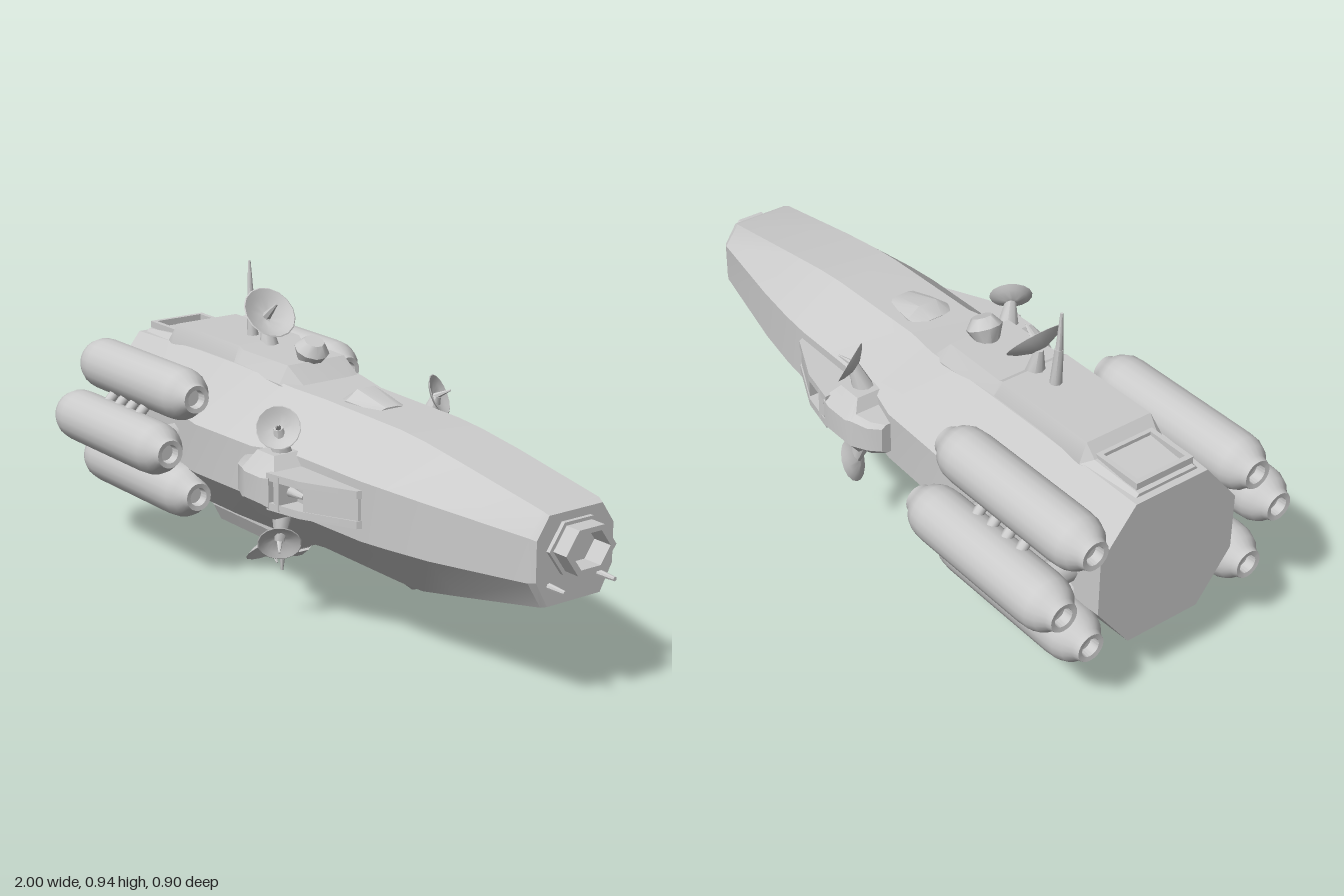
import * as THREE from 'three';
import { toCreasedNormals } from 'three/addons/utils/BufferGeometryUtils.js';

const MAT = new THREE.MeshStandardMaterial({ color: 0xcccccc, side: THREE.DoubleSide });
const V = (x, y, z) => new THREE.Vector3(x, y, z);
const AXIS = 0.435; // height of the ship's long axis

function add(parent, name, geometry, crease = 0.5) {
  const mesh = new THREE.Mesh(toCreasedNormals(geometry, crease), MAT);
  mesh.name = name;
  parent.add(mesh);
  return mesh;
}

// Octagonal section: [x, top, bottom, half width, flat half width, shoulder y, lower shoulder y, centre z]
function octagon([x, top, bot, hz, flat, sT, sB, cz = 0]) {
  return [[top, -flat], [top, flat], [sT, hz], [sB, hz], [bot, flat], [bot, -flat], [sB, -hz], [sT, -hz]]
    .map(([y, z]) => V(x, y, z + cz));
}

// Skin over octagonal sections ordered along +x, with both ends closed
function loft(sections) {
  const rings = sections.map(octagon), n = 8, pos = [];
  const tri = (...pts) => pts.forEach(p => pos.push(p.x, p.y, p.z));
  for (let i = 0; i < rings.length - 1; i++) {
    for (let j = 0; j < n; j++) {
      const k = (j + 1) % n, a = rings[i], b = rings[i + 1];
      tri(a[j], a[k], b[j]);
      tri(a[k], b[k], b[j]);
    }
  }
  const first = rings[0], last = rings[rings.length - 1];
  for (let j = 1; j < n - 1; j++) {
    tri(first[0], first[j + 1], first[j]);
    tri(last[0], last[j], last[j + 1]);
  }
  const g = new THREE.BufferGeometry();
  g.setAttribute('position', new THREE.Float32BufferAttribute(pos, 3));
  g.computeVertexNormals();
  return g;
}

// Tapered rod from p to q
function rod(parent, name, p, q, r0, r1, sides = 8) {
  const d = q.clone().sub(p);
  const mesh = add(parent, name, new THREE.CylinderGeometry(r1, r0, d.length(), sides), 0.9);
  mesh.position.copy(p).addScaledVector(d, 0.5);
  mesh.quaternion.setFromUnitVectors(V(0, 1, 0), d.normalize());
  return mesh;
}

// Shallow dish with a feed spike, facing dir
function dish(parent, name, centre, dir, r) {
  const g = new THREE.Group();
  g.name = name;
  const profile = [[0, -0.2], [0.3, -0.17], [0.75, 0], [1, 0.16], [0.96, 0.18], [0.7, 0.05], [0.3, -0.09], [0, -0.1]]
    .map(([a, b]) => new THREE.Vector2(a * r, b * r));
  add(g, 'reflector', new THREE.LatheGeometry(profile, 16), 0.7);
  rod(g, 'feedSpike', V(0, -0.1 * r, 0), V(0, 0.75 * r, 0), r * 0.16, r * 0.04, 6);
  g.position.copy(centre);
  g.quaternion.setFromUnitVectors(V(0, 1, 0), dir.normalize());
  parent.add(g);
}

// Flat outline with an optional hole, extruded
function slab(outline, depth, hole) {
  const pts = a => a.map(([x, y]) => new THREE.Vector2(x, y));
  const s = new THREE.Shape(pts(outline));
  if (hole) s.holes.push(new THREE.Path(pts(hole)));
  return new THREE.ExtrudeGeometry(s, { depth, bevelEnabled: false });
}

// Everything repeated on the left and right flanks
function flank() {
  const g = new THREE.Group();
  // Three long tanks with hollow nozzle ends
  const profile = [[0, 0.03], [0.026, 0.03], [0.028, 0.002], [0.042, 0], [0.048, 0.018], [0.066, 0.038], [0.077, 0.065],
    [0.08, 0.1], [0.08, 0.505], [0.077, 0.54], [0.066, 0.567], [0.048, 0.587], [0.042, 0.605], [0.028, 0.603],
    [0.026, 0.575], [0, 0.575]].map(p => new THREE.Vector2(...p));
  for (const [y, z] of [[0.585, 0.275], [AXIS, 0.37], [0.285, 0.275]]) {
    const tank = new THREE.LatheGeometry(profile, 20);
    tank.rotateZ(-Math.PI / 2);
    add(g, 'tank', tank, 0.6).position.set(-1, y, z);
    for (const x of [-0.85, -0.55]) rod(g, 'tankMount', V(x, AXIS, 0.16), V(x, y, z), 0.04, 0.04);
  }
  // Small couplings between neighbouring tanks
  for (const s of [-1, 1]) for (let i = 0; i < 4; i++) {
    const x = -0.79 + i * 0.06;
    rod(g, 'tankCoupling', V(x, AXIS + s * 0.05, 0.36), V(x, AXIS + s * 0.11, 0.3), 0.016, 0.016);
  }
  // Sensor sponson
  add(g, 'sponson', loft([
    [-0.13, 0.485, 0.39, 0.07, 0.055, 0.475, 0.4, 0.23],
    [-0.1, 0.49, 0.385, 0.1, 0.085, 0.475, 0.4, 0.23],
    [-0.05, 0.495, 0.38, 0.12, 0.1, 0.48, 0.395, 0.23],
    [-0.03, 0.53, 0.345, 0.125, 0.08, 0.475, 0.4, 0.23],
    [0.05, 0.53, 0.345, 0.125, 0.08, 0.475, 0.4, 0.23],
    [0.08, 0.495, 0.38, 0.12, 0.1, 0.48, 0.395, 0.23]]));
  // Open trough ahead of the sponson
  const wall = [[0.07, 0.2], [0.07, 0.35], [0.19, 0.325], [0.35, 0.25], [0.37, 0.2]];
  for (const y of [0.495, 0.41]) {
    const w = slab(wall, 0.022);
    w.rotateX(Math.PI / 2);
    add(g, 'troughWall', w).position.y = y;
  }
  const floor = slab([[0.07, 0.2], [0.07, 0.275], [0.2, 0.285], [0.2, 0.318], [0.35, 0.245], [0.36, 0.2]], 0.08);
  floor.rotateX(Math.PI / 2);
  add(g, 'troughFloor', floor).position.y = 0.48;
  add(g, 'troughBar', new THREE.BoxGeometry(0.025, 0.1, 0.08)).position.set(0.105, 0.442, 0.302);
  rod(g, 'sensorTip', V(0.11, 0.442, 0.3), V(0.18, 0.442, 0.3), 0.016, 0.008);
  // Dishes above and below the sponson
  for (const s of [-1, 1]) {
    const c = V(0.03, AXIS + s * 0.165, 0.28);
    rod(g, 'dishArm', V(0.01, AXIS + s * 0.05, 0.25), c, 0.04, 0.014);
    dish(g, 'flankDish', c, V(0.85, s * 0.5, 0.6), 0.063);
  }
  return g;
}

export function createModel() {
  const model = new THREE.Group();
  model.name = 'spaceship';

  add(model, 'hull', loft([
    [-0.97, 0.655, 0.205, 0.23, 0.12, 0.52, 0.35],
    [-0.6, 0.67, 0.2, 0.25, 0.13, 0.52, 0.35],
    [-0.4, 0.67, 0.2, 0.28, 0.13, 0.51, 0.36],
    [-0.12, 0.655, 0.2, 0.27, 0.12, 0.51, 0.36],
    [0, 0.647, 0.203, 0.24, 0.1, 0.52, 0.345],
    [0.35, 0.64, 0.203, 0.236, 0.1, 0.52, 0.35],
    [0.45, 0.632, 0.207, 0.228, 0.1, 0.52, 0.355],
    [0.6, 0.612, 0.238, 0.205, 0.1, 0.515, 0.36],
    [0.92, 0.563, 0.305, 0.14, 0.095, 0.5, 0.38],
    [0.94, 0.555, 0.312, 0.13, 0.09, 0.495, 0.385]]), 0.35);

  // Dorsal housing, with a framed hatch on its rear ramp
  add(model, 'dorsalHousing', loft([
    [-0.95, 0.665, 0.6, 0.11, 0.095, 0.65, 0.61],
    [-0.79, 0.68, 0.6, 0.125, 0.105, 0.66, 0.61],
    [-0.76, 0.718, 0.6, 0.13, 0.108, 0.66, 0.61],
    [-0.42, 0.718, 0.6, 0.13, 0.108, 0.66, 0.61],
    [-0.4, 0.708, 0.6, 0.13, 0.105, 0.66, 0.61],
    [-0.18, 0.706, 0.6, 0.13, 0.1, 0.655, 0.61],
    [-0.12, 0.648, 0.6, 0.12, 0.08, 0.64, 0.61]]), 0.4);
  const hatch = slab([[-0.94, -0.095], [-0.78, -0.095], [-0.78, 0.095], [-0.94, 0.095]], 0.02,
    [[-0.925, -0.08], [-0.795, -0.08], [-0.795, 0.08], [-0.925, 0.08]]);
  hatch.rotateX(Math.PI / 2);
  add(model, 'hatchFrame', hatch).position.y = 0.69;

  // Ventral housing
  add(model, 'ventralHousing', loft([
    [-0.58, 0.26, 0.198, 0.13, 0.1, 0.25, 0.21],
    [-0.54, 0.26, 0.145, 0.13, 0.105, 0.25, 0.195],
    [-0.17, 0.26, 0.145, 0.13, 0.105, 0.25, 0.195],
    [-0.11, 0.26, 0.203, 0.12, 0.09, 0.25, 0.21]]), 0.4);

  // Low fairings on the forward hull
  add(model, 'topBlister', loft([
    [0.02, 0.648, 0.62, 0.06, 0.02, 0.64, 0.63],
    [0.06, 0.678, 0.62, 0.07, 0.03, 0.65, 0.63],
    [0.18, 0.648, 0.62, 0.05, 0.02, 0.64, 0.63]]));
  add(model, 'bottomBlister', loft([
    [0.27, 0.23, 0.2, 0.09, 0.05, 0.22, 0.21],
    [0.34, 0.23, 0.167, 0.09, 0.05, 0.22, 0.2],
    [0.42, 0.23, 0.195, 0.08, 0.05, 0.225, 0.21]]));

  // Masts, dishes and turrets above and below
  rod(model, 'topMast', V(-0.505, 0.7, 0), V(-0.515, 0.83, 0), 0.018, 0.012);
  rod(model, 'topMastTip', V(-0.515, 0.82, 0), V(-0.52, 0.943, 0), 0.011, 0.004);
  dish(model, 'topDish', V(-0.425, 0.795, 0), V(0.76, 0.65, 0), 0.085);
  rod(model, 'topDishArm', V(-0.42, 0.7, 0), V(-0.435, 0.785, 0), 0.03, 0.012);
  rod(model, 'topTurret', V(-0.22, 0.69, 0), V(-0.2, 0.735, 0), 0.03, 0.052, 10);
  rod(model, 'topTurretCap', V(-0.2, 0.735, 0), V(-0.188, 0.762, 0), 0.052, 0.03, 10);
  rod(model, 'bottomMast', V(-0.355, 0.15, 0), V(-0.365, 0.005, 0), 0.018, 0.004);
  dish(model, 'bottomDish', V(-0.43, 0.07, 0), V(0.6, -0.75, 0), 0.083);
  rod(model, 'bottomDishArm', V(-0.39, 0.16, 0), V(-0.435, 0.08, 0), 0.03, 0.012);
  rod(model, 'bottomTurret', V(-0.3, 0.15, 0), V(-0.3, 0.11, 0), 0.07, 0.06, 10);
  rod(model, 'bottomTurretCap', V(-0.3, 0.11, 0), V(-0.305, 0.085, 0), 0.055, 0.035, 10);

  // Hexagonal nose collar and twin guns
  const hex = k => Array.from({ length: 6 }, (_, i) =>
    [0.085 * k * Math.cos(i * Math.PI / 3), 0.07 * k * Math.sin(i * Math.PI / 3)]);
  for (const [name, k, x, depth] of [['noseCollar', 1, 0.93, 0.07], ['noseBase', 1.15, 0.93, 0.022]]) {
    const ring = slab(hex(k), depth, hex(0.77));
    ring.rotateY(Math.PI / 2);
    add(model, name, ring).position.set(x, 0.462, 0);
  }
  for (const z of [-0.085, 0.085]) {
    rod(model, 'noseGun', V(0.93, 0.366, z), V(1, 0.366, z), 0.01, 0.006);
  }

  // Flanks, mirrored
  const left = flank(), right = flank();
  left.name = 'leftFlank';
  right.name = 'rightFlank';
  right.scale.z = -1;
  model.add(left, right);
  return model;
}
